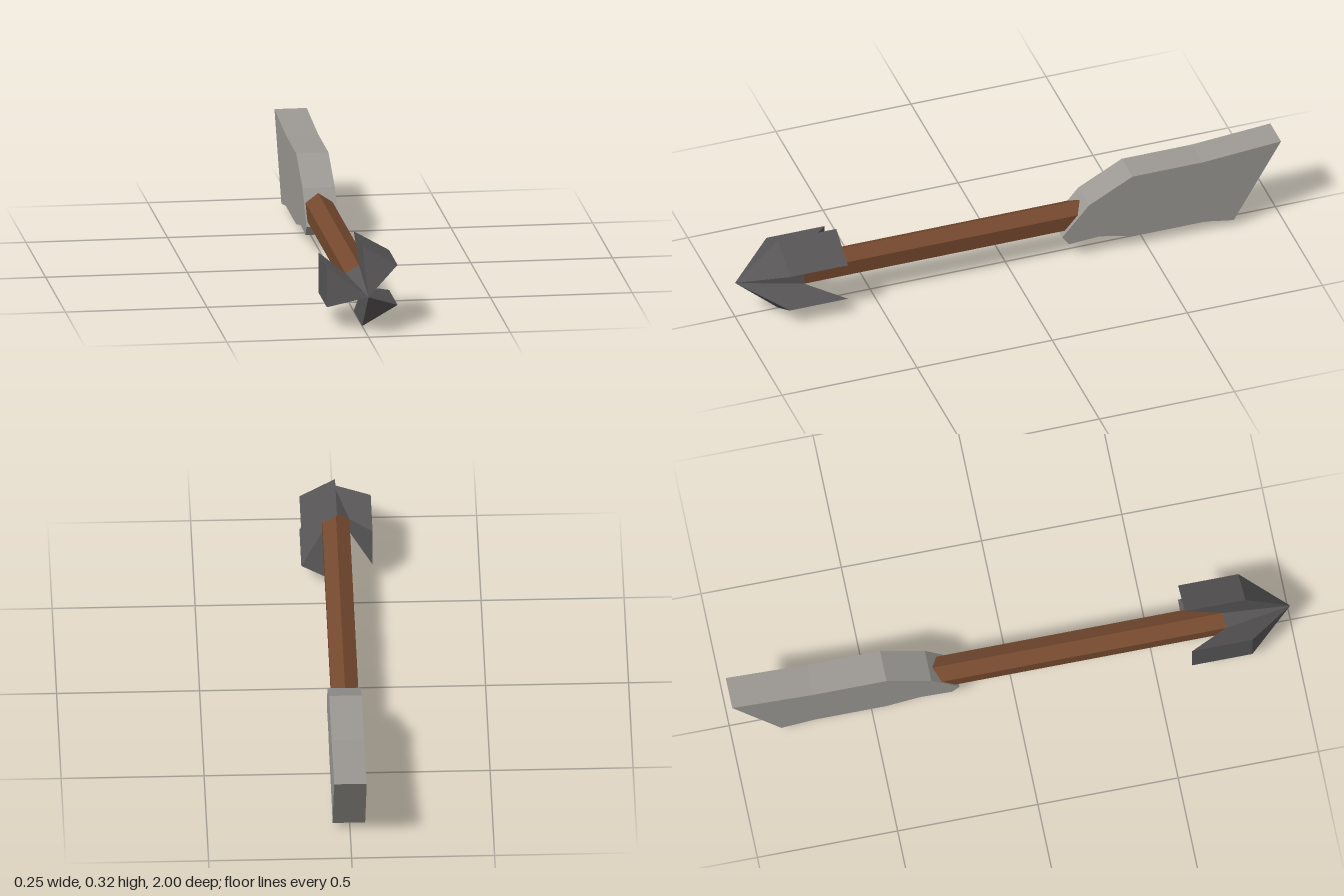
import * as THREE from 'three';

const AXIS_Y = 0.144;

function material(name, color) {
  const m = new THREE.MeshStandardMaterial({ color, flatShading: true });
  m.name = name;
  return m;
}

// Three barbed blades around a six-sided cone, pointing along +z
function headGeometry() {
  const positions = [];
  const ring = (degrees, radius, z) => {
    const a = THREE.MathUtils.degToRad(degrees);
    return [Math.cos(a) * radius, Math.sin(a) * radius, z];
  };
  const face = (...pts) => {
    for (let i = 1; i < pts.length - 1; i++) positions.push(...pts[0], ...pts[i], ...pts[i + 1]);
  };
  const tip = [0, 0, 1];
  for (const start of [30, 150, 270]) {
    const [a, b] = [start, start + 60];
    const [p0, p1] = [ring(a, 0.144, 0.84), ring(b, 0.144, 0.84)]; // shoulder
    const [q0, q1] = [ring(a, 0.144, 0.625), ring(b, 0.144, 0.625)]; // barb
    const [h0, h1] = [ring(a, 0.055, 0.76), ring(b, 0.055, 0.76)]; // root on shaft
    face(tip, p0, p1);
    face(p0, q0, q1, p1);
    face(tip, h0, q0, p0);
    face(p1, q1, h1, tip);
    face(h0, h1, q1, q0);
    face(tip, h1, ring(b + 60, 0.055, 0.76)); // cone facet between blades
  }
  const g = new THREE.BufferGeometry();
  g.setAttribute('position', new THREE.Float32BufferAttribute(positions, 3));
  g.computeVertexNormals();
  return g;
}

// Thick vane, outlined in (-z, y) and extruded across x
function vaneGeometry() {
  const outline = [
    [0.19, 0.10], [0.215, 0.065], [0.33, 0.072], [0.45, 0.045], [0.71, 0.045],
    [0.825, 0.025], [1, 0.322], [0.71, 0.30], [0.45, 0.30], [0.29, 0.215],
  ].map(([u, y]) => new THREE.Vector2(u, y));
  const g = new THREE.ExtrudeGeometry(new THREE.Shape(outline), { depth: 0.114, bevelEnabled: false });
  g.rotateY(Math.PI / 2);
  g.translate(-0.053, 0, 0);
  return g;
}

export function createModel() {
  const model = new THREE.Group();
  model.name = 'arrow';
  const add = (name, geometry, mat, y = 0) => {
    const mesh = new THREE.Mesh(geometry, mat);
    mesh.name = name;
    mesh.position.y = y;
    model.add(mesh);
  };

  // Hexagonal shaft with an edge along the top
  const front = 0.76, back = -0.32;
  const shaft = new THREE.CylinderGeometry(0.055, 0.055, front - back, 6);
  shaft.rotateX(Math.PI / 2);
  shaft.translate(0, 0, (front + back) / 2);

  add('shaft', shaft, material('brown wood', 0x75492e), AXIS_Y);
  add('arrowHead', headGeometry(), material('dark iron', 0x575555), AXIS_Y);
  add('fletching', vaneGeometry(), material('grey feather', 0x9c9994));
  return model;
}
